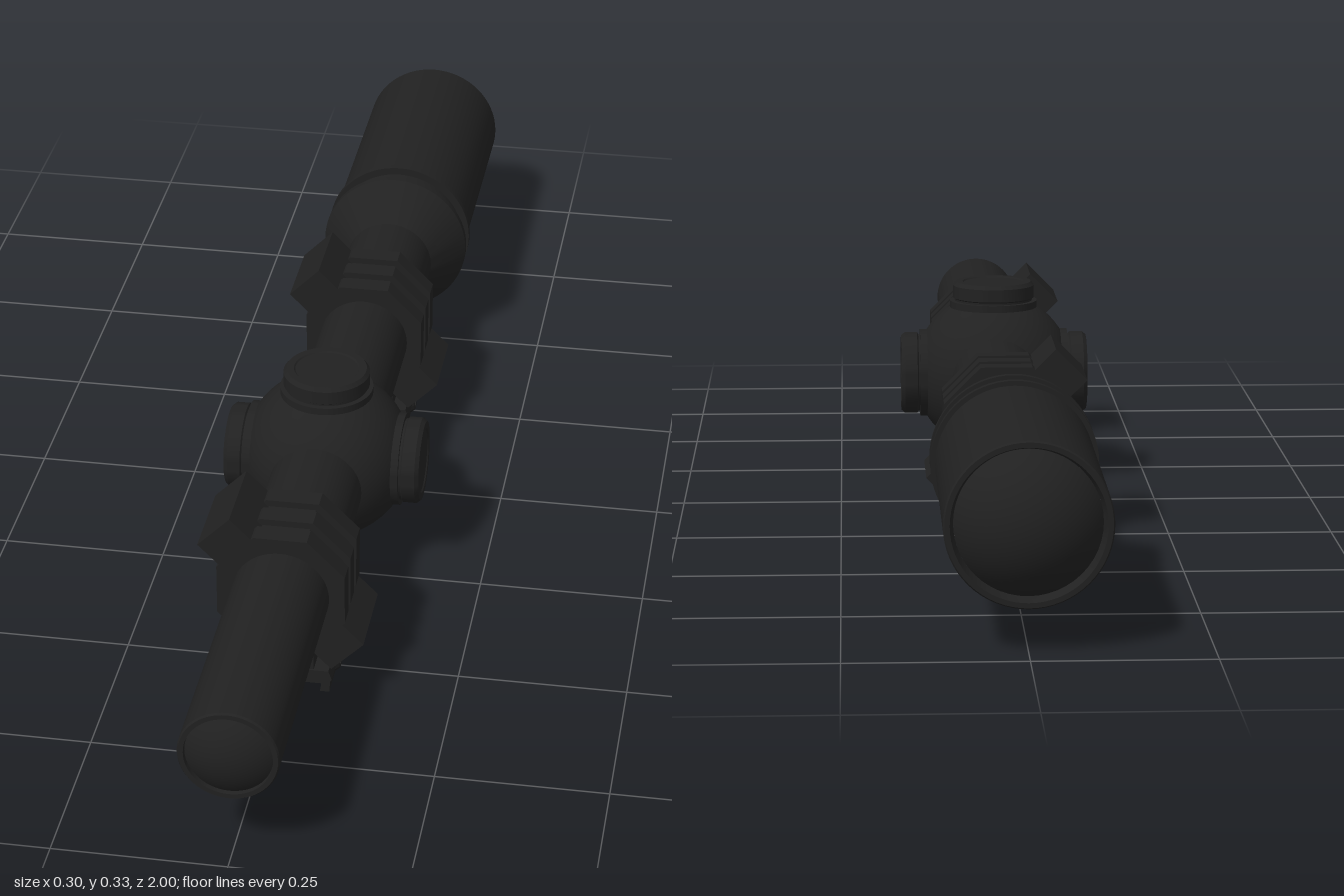
import * as THREE from 'three';
import { toCreasedNormals } from 'three/addons/utils/BufferGeometryUtils.js';

const AXIS_Y = 0.175;

export function createModel() {
  const model = new THREE.Group();
  const black = new THREE.MeshStandardMaterial({ color: 0x212121 });
  black.name = 'matte black';

  const add = (parent, name, geometry, x = 0, y = 0, z = 0) => {
    const mesh = new THREE.Mesh(geometry, black);
    mesh.name = name;
    mesh.position.set(x, y, z);
    parent.add(mesh);
    return mesh;
  };
  // Revolved profile of [radius, height] pairs, listed upwards
  const lathe = (points, segments = 48) => toCreasedNormals(
    new THREE.LatheGeometry(points.map(([r, h]) => new THREE.Vector2(r, h)), segments), 0.5);
  // Outline extruded along z, centred on z = 0
  const prism = (points, depth) => new THREE.ExtrudeGeometry(
    new THREE.Shape(points.map(([x, y]) => new THREE.Vector2(x, y))),
    { depth, bevelEnabled: false }).translate(0, 0, -depth / 2);
  // Shallow spherical lens, rim at height 0, bulging upwards
  const lens = (radius, bulge) => {
    const R = (radius * radius + bulge * bulge) / (2 * bulge);
    return new THREE.SphereGeometry(R, 48, 12, 0, Math.PI * 2, 0, Math.asin(radius / R))
      .translate(0, bulge - R, 0);
  };

  // Main tube with its flared bell, collars and recessed ends
  add(model, 'scopeTube', lathe([
    [0.100, -0.945], [0.105, -0.965], [0.112, -0.965], [0.114, -0.962],
    [0.114, -0.562], [0.121, -0.562], [0.121, -0.550], [0.109, -0.550],
    [0.109, -0.517], [0.121, -0.517], [0.121, -0.505], [0.071, -0.440],
    [0.071, 0.982], [0.069, 0.985], [0.062, 0.985], [0.061, 0.975],
  ], 64).rotateX(Math.PI / 2), 0, AXIS_Y, 0);
  add(model, 'frontLens', lens(0.0615, 0.022).rotateX(Math.PI / 2), 0, AXIS_Y, 0.978);
  add(model, 'rearLens', lens(0.1, 0.054).rotateX(-Math.PI / 2), 0, AXIS_Y, -0.946);

  // Round turret housing with a cap on top and on both sides
  const turret = new THREE.Group();
  turret.name = 'turret';
  turret.position.set(0, AXIS_Y, 0.187);
  model.add(turret);
  add(turret, 'turretHousing', new THREE.SphereGeometry(0.13, 48, 32));
  const cap = lathe([
    [0.071, 0.080], [0.071, 0.120], [0.063, 0.120], [0.063, 0.123],
    [0.066, 0.125], [0.066, 0.145], [0.061, 0.151], [0.050, 0.151],
    [0.048, 0.149], [0, 0.149],
  ]);
  for (const [name, angle] of [['topCap', 0], ['leftCap', -Math.PI / 2], ['rightCap', Math.PI / 2]]) {
    add(turret, name, cap, 0, 0, 0).rotation.z = angle;
  }

  // Octagonal clamp ring with grooves, diagonal rails and a foot
  const octagon = (apothem) => Array.from({ length: 8 }, (_, i) => {
    const a = (i + 0.5) * Math.PI / 4, r = apothem / Math.cos(Math.PI / 8);
    return [r * Math.cos(a), r * Math.sin(a)];
  });
  const ringCore = prism(octagon(0.084), 0.13);
  const ringBand = prism(octagon(0.094), 0.032);
  const rail = new THREE.BoxGeometry(0.067, 0.068, 0.135);
  const jawUpper = prism([[0.03, 0.028], [0.046, 0.028], [0.066, 0.028], [0.071, 0.036],
    [0.066, 0.05], [0.03, 0.05]], 0.14);
  const jawLower = prism([[0.042, 0.03], [0.052, 0.012], [0.050, 0], [0.064, 0],
    [0.066, 0.03]], 0.1);
  const bolt = lathe([[0.018, 0], [0.018, 0.012], [0.013, 0.018], [0.008, 0.018],
    [0.007, 0.013], [0, 0.013]], 12).rotateZ(-Math.PI / 2);

  for (const [name, z] of [['frontMount', 0.52], ['rearMount', -0.235]]) {
    const mount = new THREE.Group();
    mount.name = name;
    mount.position.z = z;
    model.add(mount);

    add(mount, 'ringCore', ringCore, 0, AXIS_Y, 0);
    for (const offset of [-0.0515, 0, 0.0515]) add(mount, 'ringBand', ringBand, 0, AXIS_Y, offset);
    for (const side of [-1, 1]) {
      const d = 0.104 * Math.SQRT1_2;
      add(mount, 'sideRail', rail, side * d, AXIS_Y - side * d, 0).rotation.z = Math.PI / 4;
    }

    // Foot with two jaws and cross bolts
    add(mount, 'footBlock', new THREE.BoxGeometry(0.088, 0.068, 0.135), 0.004, 0.062, 0);
    const foot = new THREE.Group();
    foot.name = 'foot';
    foot.position.x = 0.004;
    mount.add(foot);
    for (const turn of [0, Math.PI]) {
      const jaw = new THREE.Group();
      jaw.name = turn ? 'rightJaw' : 'leftJaw';
      jaw.rotation.y = turn;
      foot.add(jaw);
      add(jaw, 'jawUpper', jawUpper);
      add(jaw, 'jawLower', jawLower);
      add(jaw, 'bolt', bolt, 0.055, 0.026, 0);
    }
  }
  return model;
}
